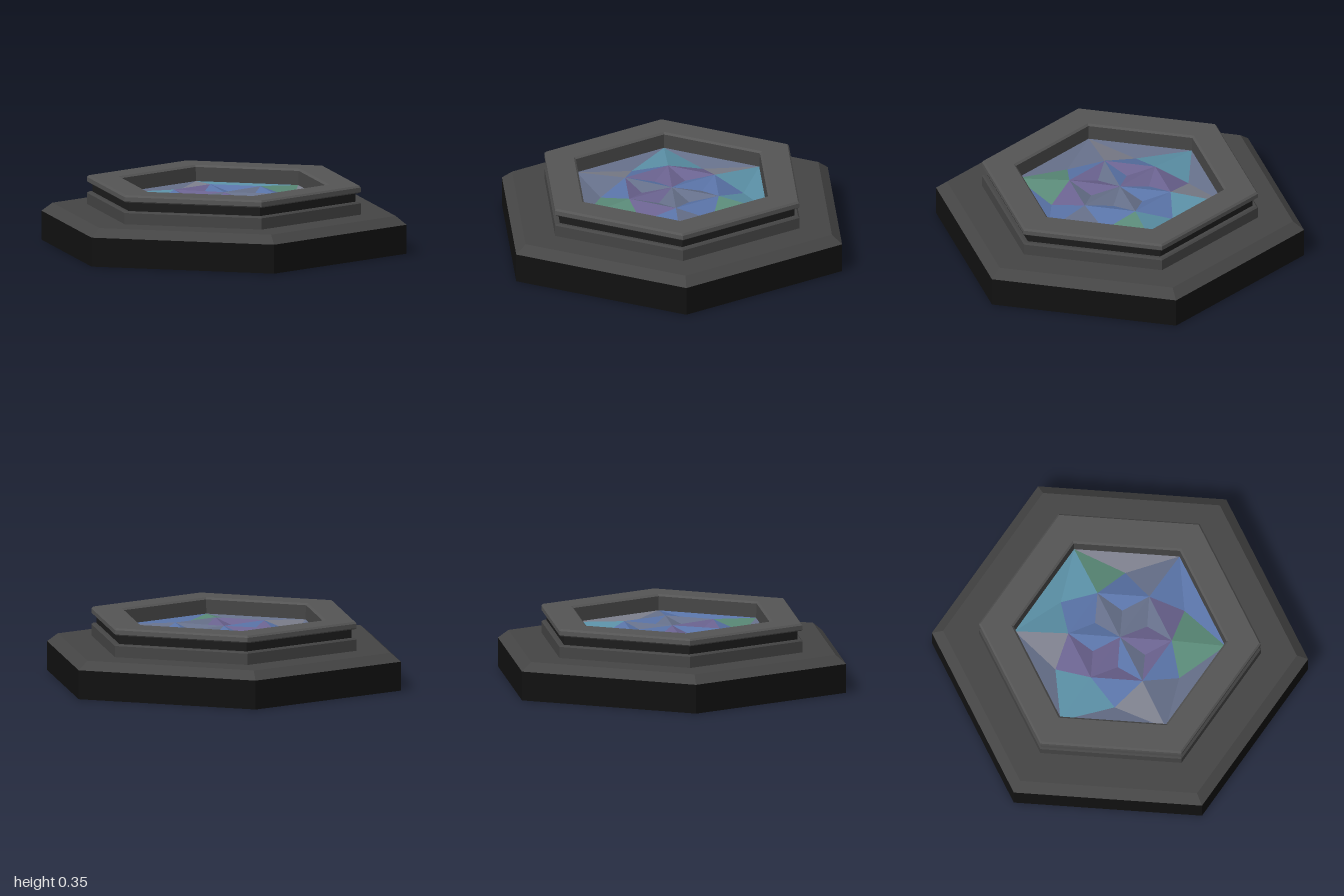
import * as THREE from 'three';

const material = (color) => new THREE.MeshStandardMaterial({ color, flatShading: true, side: THREE.DoubleSide });

// Six-sided shell swept from [radius, height] pairs, with a corner on +x
function hexBand(name, color, profile) {
  const points = profile.map(([r, y]) => new THREE.Vector2(r, y));
  const mesh = new THREE.Mesh(new THREE.LatheGeometry(points, 6, Math.PI / 2), material(color));
  mesh.name = name;
  return mesh;
}

// Faceted crystal: rings of points joined into seven facets per sixth
function crystal() {
  const group = new THREE.Group();
  group.name = 'crystal';
  const palette = [0x66708a, 0x5a8fa5, 0x5a8a78, 0x6b6390, 0x5a74a8, 0x7c7f8c];
  // palette index of each facet, one string per sixth
  const tints = ['5204400', '4423003', '0204330', '0514343', '0153334', '1114440'];
  const ring = (r, y, turn) => {
    const a = turn * Math.PI / 3;
    return [r * Math.cos(a), y, r * Math.sin(a)];
  };
  const centre = [0, 0.292, 0];
  const byColor = palette.map(() => []);
  tints.forEach((tint, k) => {
    const tipA = ring(0.56, 0.27, k), tipB = ring(0.56, 0.27, k + 1);
    const inA = ring(0.275, 0.295, k), inB = ring(0.275, 0.295, k + 1);
    const valley = ring(0.38, 0.245, k + 0.5), dip = ring(0.16, 0.265, k + 0.5);
    const facets = [
      [valley, tipB, tipA], [inA, valley, tipA], [inB, tipB, valley],
      [inA, inB, valley], [dip, inB, inA], [centre, dip, inA], [centre, inB, dip],
    ];
    facets.forEach((f, i) => byColor[+tint[i]].push(...f.flat()));
  });
  byColor.forEach((positions, i) => {
    const geometry = new THREE.BufferGeometry();
    geometry.setAttribute('position', new THREE.Float32BufferAttribute(positions, 3));
    geometry.computeVertexNormals();
    const mesh = new THREE.Mesh(geometry, material(palette[i]));
    mesh.name = 'crystalFacets' + (i + 1);
    group.add(mesh);
  });
  return group;
}

export function createModel() {
  const model = new THREE.Group();
  model.name = 'hexagonalPedestal';
  model.add(
    // Open-bottomed base
    hexBand('baseWall', 0x111111, [[1, 0], [1, 0.155]]),
    hexBand('baseTop', 0x454545, [[1, 0.155], [0.94, 0.2], [0.75, 0.2]]),
    // Stepped collar with a recessed groove
    hexBand('riser', 0x454545, [[0.75, 0.2], [0.75, 0.26], [0.74, 0.268], [0.72, 0.268]]),
    hexBand('groove', 0x1c1c1c, [[0.72, 0.268], [0.72, 0.325]]),
    hexBand('rim', 0x555555, [[0.72, 0.325], [0.74, 0.315], [0.75, 0.322], [0.75, 0.345], [0.74, 0.355],
      [0.577, 0.355], [0.565, 0.345]]),
    // Well wall down to the crystal
    hexBand('wellWall', 0x454545, [[0.565, 0.345], [0.56, 0.27]]),
    crystal(),
  );
  return model;
}
